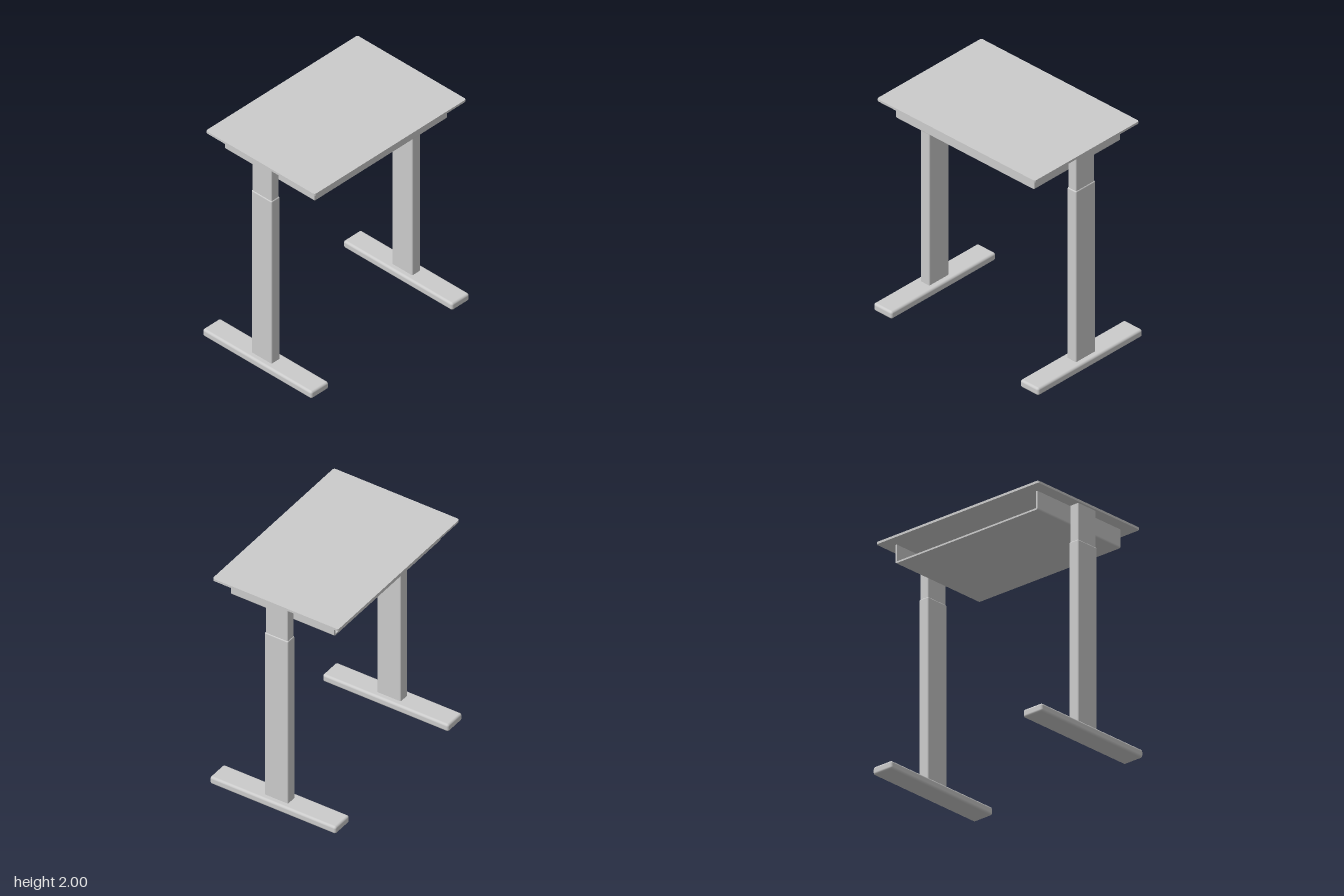
import * as THREE from 'three';
import { RoundedBoxGeometry } from 'three/addons/geometries/RoundedBoxGeometry.js';

const material = new THREE.MeshStandardMaterial({ color: 0xcccccc });

function addMesh(parent, name, geometry, x = 0, y = 0, z = 0) {
  const mesh = new THREE.Mesh(geometry, material);
  mesh.name = name;
  mesh.position.set(x, y, z);
  parent.add(mesh);
}

// Rounded box given by its centre x, bottom, top and sizes
function addBar(parent, name, x, bottom, top, width, depth, radius) {
  const geometry = new RoundedBoxGeometry(width, top - bottom, depth, 4, radius);
  addMesh(parent, name, geometry, x, (bottom + top) / 2, 0);
}

// Rectangle with separate corner radii for the bottom and the top
function roundedRect(x0, y0, x1, y1, rBottom, rTop) {
  const s = new THREE.Shape();
  s.moveTo(x0 + rBottom, y0);
  s.lineTo(x1 - rBottom, y0);
  s.absarc(x1 - rBottom, y0 + rBottom, rBottom, -Math.PI / 2, 0);
  s.lineTo(x1, y1 - rTop);
  s.absarc(x1 - rTop, y1 - rTop, rTop, 0, Math.PI / 2);
  s.lineTo(x0 + rTop, y1);
  s.absarc(x0 + rTop, y1 - rTop, rTop, Math.PI / 2, Math.PI);
  s.lineTo(x0, y0 + rBottom);
  s.absarc(x0 + rBottom, y0 + rBottom, rBottom, Math.PI, Math.PI * 1.5);
  return s;
}

// U-shaped section: floor and two side walls with rounded lower corners
function trayProfile(half, bottom, top, wall, r) {
  const s = new THREE.Shape();
  s.moveTo(-half, top);
  s.lineTo(-half, bottom + r);
  s.absarc(-half + r, bottom + r, r, Math.PI, Math.PI * 1.5);
  s.lineTo(half - r, bottom);
  s.absarc(half - r, bottom + r, r, -Math.PI / 2, 0);
  s.lineTo(half, top);
  s.lineTo(half - wall, top);
  s.lineTo(half - wall, bottom + wall);
  s.lineTo(-half + wall, bottom + wall);
  s.lineTo(-half + wall, top);
  s.closePath();
  return s;
}

export function createModel() {
  const model = new THREE.Group();
  model.name = 'standingDesk';

  // Thin tabletop with softened corners
  const top = new THREE.ExtrudeGeometry(
    roundedRect(-0.855, -0.593, 0.855, 0.593, 0.02, 0.02),
    { depth: 0.02, bevelEnabled: false, curveSegments: 5 });
  top.rotateX(-Math.PI / 2);
  addMesh(model, 'tabletop', top, 0, 1.98, 0);

  // Tray under the top, open at the back
  const tray = new THREE.Group();
  tray.name = 'tray';
  model.add(tray);
  addMesh(tray, 'trayFloorAndSides', new THREE.ExtrudeGeometry(
    trayProfile(0.75, 1.82, 1.98, 0.015, 0.014),
    { depth: 0.963, bevelEnabled: false, curveSegments: 5 }), 0, 0, -0.485);
  const bevel = 0.008;
  addMesh(tray, 'trayFront', new THREE.ExtrudeGeometry(
    roundedRect(-0.75 + bevel, 1.82 + bevel, 0.75 - bevel, 1.98, 0.006, 0.001),
    { depth: 0.004, bevelSize: bevel, bevelThickness: bevel, bevelSegments: 3, curveSegments: 4 }),
    0, 0, 0.478);

  // Telescoping legs on long feet
  for (const side of [-1, 1]) {
    const leg = new THREE.Group();
    leg.name = side > 0 ? 'leftLeg' : 'rightLeg';
    model.add(leg);
    addBar(leg, 'foot', side * 0.793, 0, 0.07, 0.198, 1.186, 0.02);
    addBar(leg, 'outerColumn', side * 0.793, 0.05, 1.665, 0.097, 0.222, 0.012);
    addBar(leg, 'innerColumn', side * 0.793, 1.6, 1.99, 0.086, 0.21, 0.01);
  }
  return model;
}
